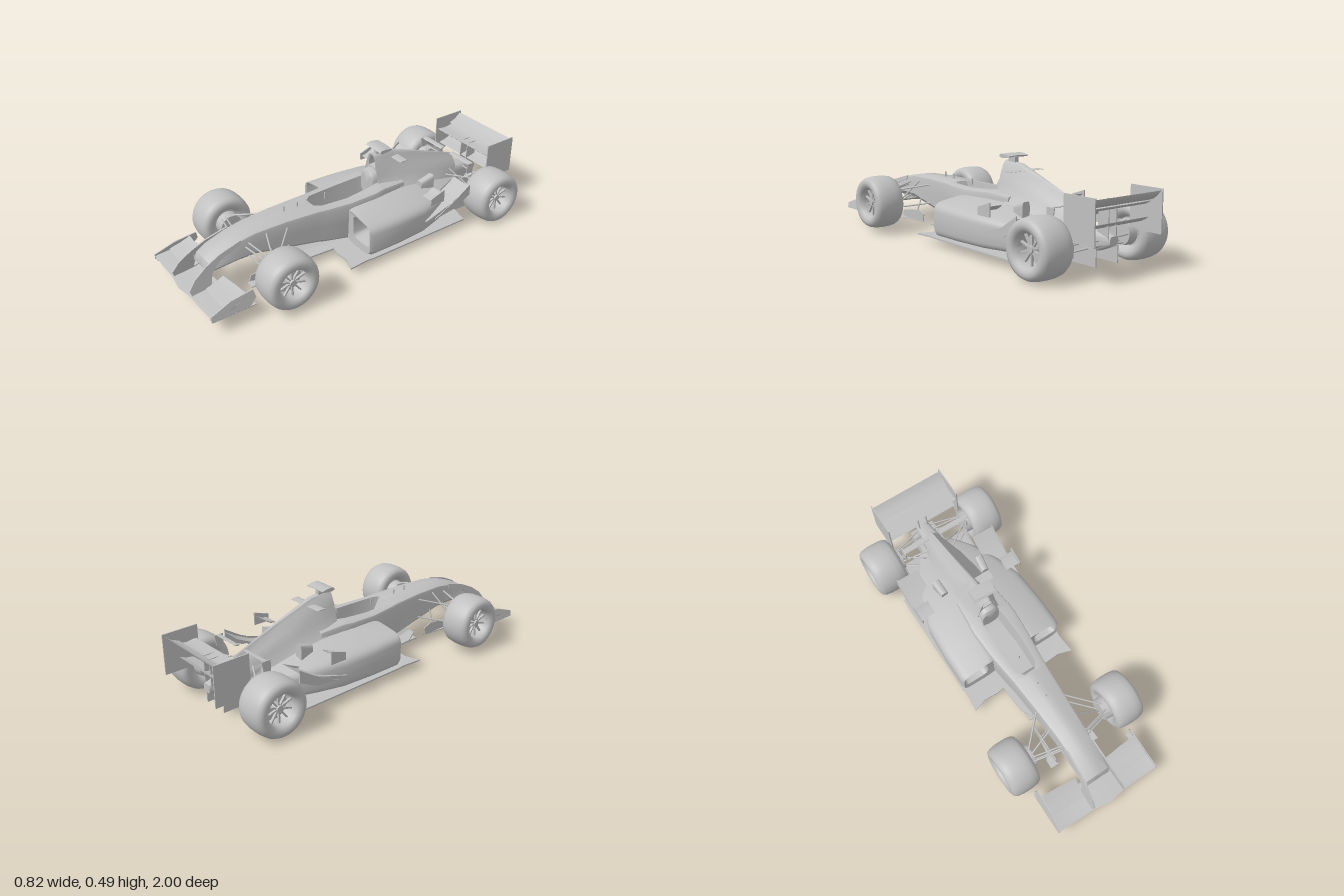
import * as THREE from 'three';
import { toCreasedNormals } from 'three/addons/utils/BufferGeometryUtils.js';

const grey = new THREE.MeshStandardMaterial({ color: 0xc0c0c0, side: THREE.DoubleSide });
grey.name = 'bodyGrey';
const lerp = THREE.MathUtils.lerp;

// Skin a row of closed rings of [x, y, z] points and cap both ends
function loft(rings, crease = 0.7) {
  const n = rings[0].length, pos = rings.flat(2), idx = [];
  for (let r = 0; r < rings.length - 1; r++) {
    for (let i = 0; i < n; i++) {
      const a = r * n + i, b = r * n + (i + 1) % n;
      idx.push(a, b, a + n, b, b + n, a + n);
    }
  }
  [0, rings.length - 1].forEach((r, end) => {
    const c = pos.length / 3;
    for (let k = 0; k < 3; k++) pos.push(rings[r].reduce((s, p) => s + p[k], 0) / n);
    for (let i = 0; i < n; i++) {
      const a = r * n + i, b = r * n + (i + 1) % n;
      idx.push(c, end ? a : b, end ? b : a);
    }
  });
  const g = new THREE.BufferGeometry();
  g.setAttribute('position', new THREE.Float32BufferAttribute(pos, 3));
  g.setIndex(idx);
  return toCreasedNormals(g, crease);
}

// Half outline from top centre to bottom centre, mirrored to a full ring
const mirrorRing = (half, z) => [
  ...half.map(([x, y]) => [x, y, z]),
  ...half.slice(1, -1).reverse().map(([x, y]) => [-x, y, z]),
];

// Rounded box section; tilt raises the inner top edge
function roundRing(z, x0, x1, y0, y1, tilt = 0, p = 0.4, n = 28) {
  return Array.from({ length: n }, (_, i) => {
    const a = -i / n * Math.PI * 2, c = Math.cos(a), s = Math.sin(a);
    const u = Math.sign(c) * Math.abs(c) ** p, v = Math.sign(s) * Math.abs(s) ** p;
    return [lerp(x0, x1, (u + 1) / 2), lerp(y0, y1, (v + 1) / 2) - tilt * u * (v + 1) / 2, z];
  });
}

// Wing section at x, from leading edge to trailing edge
function foil(x, z0, y0, z1, y1, t = 0.008, camber = -0.008) {
  const at = (f, k) => [x, lerp(y0, y1, f) + camber * 4 * f * (1 - f) + k * t, lerp(z0, z1, f)];
  return [at(0, 0), at(0.15, 0.5), at(0.5, 0.5), at(0.8, 0.3), at(1, 0.1),
    at(1, -0.1), at(0.8, -0.3), at(0.5, -0.5), at(0.15, -0.5)];
}

// Thin upright plate from [z, y] points; lean pulls its top inwards
function sidePlate(pts, x, t = 0.006, lean = 0) {
  const g = new THREE.ExtrudeGeometry(new THREE.Shape(pts.map(p => new THREE.Vector2(...p))),
    { depth: t, bevelEnabled: false });
  g.rotateY(-Math.PI / 2).translate(x + t / 2, 0, 0);
  const p = g.attributes.position;
  for (let i = 0; i < p.count; i++) p.setX(i, p.getX(i) - lean * (p.getY(i) - pts[0][1]));
  g.computeVertexNormals();
  return g;
}

// Flat plate from [x, z] points lying at height y
function flatPlate(pts, y, t = 0.008) {
  const g = new THREE.ExtrudeGeometry(new THREE.Shape(pts.map(([x, z]) => new THREE.Vector2(x, -z))),
    { depth: t, bevelEnabled: false });
  return g.rotateX(-Math.PI / 2).translate(0, y, 0);
}

const box = (w, h, d, x, y, z) => new THREE.BoxGeometry(w, h, d).translate(x, y, z);

function rod(a, b, r) {
  const A = new THREE.Vector3(...a), d = new THREE.Vector3(...b).sub(A);
  const g = new THREE.CylinderGeometry(r, r, d.length(), 8).translate(0, d.length() / 2, 0);
  g.applyQuaternion(new THREE.Quaternion().setFromUnitVectors(new THREE.Vector3(0, 1, 0), d.normalize()));
  return g.translate(...a);
}

function makeWheel(width) {
  const w = new THREE.Group(), k = width / 0.166;
  const profile = [[0, -.045], [.07, -.045], [.08, -.068], [.095, -.08], [.112, -.083], [.13, -.076],
    [.139, -.06], [.144, -.03], [.145, 0], [.144, .03], [.139, .06], [.13, .076], [.112, .083], [.095, .08],
    [.082, .07], [.077, .045], [.073, .005], [0, .005]].map(([r, t]) => new THREE.Vector2(r, t * k));
  const add = (name, g) => { const m = new THREE.Mesh(g, grey); m.name = name; w.add(m); };
  add('tyre', toCreasedNormals(new THREE.LatheGeometry(profile, 48).rotateZ(-Math.PI / 2), 0.8));
  add('hub', new THREE.CylinderGeometry(.016, .022, .05, 16).rotateZ(-Math.PI / 2).translate(.03, 0, 0));
  for (let i = 0; i < 10; i++)
    add('spoke', box(.012, .062, .008, .04, .045, 0).rotateX(i / 10 * Math.PI * 2));
  return w;
}

export function createModel() {
  const car = new THREE.Group();
  car.name = 'racingCar';
  const add = (name, g) => { const m = new THREE.Mesh(g, grey); m.name = name; car.add(m); return m; };
  const both = (name, g) => { add(name + 'Left', g); add(name + 'Right', g).scale.x = -1; };

  // Nose and tub: z, inner half width, floor of opening, top width, top, bottom width, bottom
  add('chassis', loft([
    [.868, .03, .19, .066, .189, .076, .175], [.855, .03, .22, .071, .218, .083, .167],
    [.8, .03, .252, .072, .25, .083, .168], [.7, .03, .285, .073, .283, .081, .173],
    [.6, .03, .302, .076, .3, .08, .17], [.43, .03, .307, .086, .305, .085, .135],
    [.25, .03, .303, .098, .301, .093, .1], [.235, .035, .299, .099, .3, .094, .097],
    [.2, .058, .21, .103, .297, .098, .088], [.05, .07, .18, .12, .294, .11, .058],
    [-.1, .062, .18, .128, .302, .11, .055], [-.14, .056, .2, .126, .306, .11, .055],
    [-.16, .05, .3, .122, .306, .11, .055], [-.3, .04, .3, .11, .296, .1, .055],
  ].map(([z, wi, yc, wt, yt, wb, yb]) => mirrorRing([[0, yc], [wi * .85, yc], [wi, yt],
    [wt * .85, yt - .002], [wt * .96, yt - .008], [wt, yt - .022], [(wt + wb) / 2, (yt + yb) / 2],
    [wb, yb + .02], [wb * .8, yb], [0, yb]], z)), 0.6));

  // Engine cover with a recessed air intake
  const cover = (z, yt, wt, ym, wm, yb, wb) => mirrorRing([[0, yt], [wt * .6, yt - .004], [wt, yt - .02],
    [lerp(wt, wm, .6), lerp(yt, ym, .55)], [wm, ym], [lerp(wm, wb, .4), lerp(ym, yb, .5)], [wb, yb], [0, yb]], z);
  add('engineCover', loft([
    cover(-.21, .43, .012, .395, .018, .385, .02), cover(-.165, .445, .02, .395, .026, .38, .028),
    cover(-.16, .457, .026, .34, .055, .24, .1), cover(-.28, .45, .022, .33, .068, .22, .16),
    cover(-.45, .39, .014, .29, .07, .18, .16), cover(-.6, .335, .01, .25, .062, .15, .12),
    cover(-.74, .28, .008, .2, .045, .1, .06)]));
  add('headrest', loft([[-.13, .05, .355], [-.14, .055, .368], [-.2, .055, .38]]
    .map(([z, w, y]) => roundRing(z, -w, w, .22, y, 0, .75))));
  add('cameraStem', box(.022, .035, .05, 0, .46, -.21));
  add('cameraPod', loft([-.062, 0, .062].map(x => foil(x, -.17, .483, -.25, x ? .483 : .487, .02, 0))));
  add('airboxWinglet', loft([-.107, .107].map(x => foil(x, -.27, .415, -.32, .415, .004, 0))));

  // Sidepods with open inlets, tapering to the rear
  both('sidepod', loft([
    roundRing(-.02, .16, .27, .12, .22), roundRing(.066, .15, .29, .105, .232, .008),
    roundRing(.07, .1, .3, .062, .246, .016), roundRing(.05, .09, .308, .055, .248, .022),
    roundRing(-.12, .08, .308, .055, .25, .03), roundRing(-.3, .06, .296, .055, .245, .033),
    roundRing(-.45, .05, .25, .055, .225, .028), roundRing(-.6, .04, .185, .055, .19, .02),
    roundRing(-.73, .02, .1, .06, .15, .01)]));
  both('exhaustChimney', loft([roundRing(-.39, .11, .15, .2, .27), roundRing(-.47, .115, .16, .2, .295)]));
  both('sidepodWinglet', loft([.23, .31].map(x => foil(x, -.33, .252, -.4, .28, .006))));
  both('wingletPlate', sidePlate([[-.32, .23], [-.32, .27], [-.41, .3], [-.41, .23]], .31));
  both('rearFlick', loft([.18, .305].map(x => foil(x, -.3, .135, -.6, .25, .008, -.028))));
  both('flickPlate', sidePlate([[-.36, .13], [-.5, .2], [-.6, .265], [-.6, .2], [-.5, .15]], .306));

  // Floor, plank, splitter and diffuser
  const half = [[.05, .43], [.11, .33], [.12, .17], [.16, .18], [.24, .175], [.315, .2], [.305, .09],
    [.31, .05], [.31, -.57], [.2, -.6], [.2, -.69]];
  add('floor', flatPlate([...half, ...half.map(([x, z]) => [-x, z]).reverse()], .046));
  add('plank', box(.2, .008, 1, 0, .042, -.1));
  add('keel', loft([[.43, .02, .062], [.3, .05, .09], [.1, .09, .1]]
    .map(([z, w, y]) => mirrorRing([[0, y], [w * .4, lerp(y, .05, .5)], [w, .05], [0, .046]], z)), .4));
  both('diffuserSide', loft([.06, .2].map(x => foil(x, -.58, .055, -.73, .11, .008, -.01))));
  add('diffuserCentre', loft([-.07, .07].map(x => foil(x, -.58, .055, -.87, .14, .008, -.015))));
  for (const [x, end] of [[.07, -.87], [.135, -.74], [.2, -.74]])
    both('diffuserFence', sidePlate([[-.56, .045], [-.56, .07], [-.74, .13], [end, .13], [end, .045]], x, .005));
  both('turningVane', sidePlate([[.67, .06], [.66, .09], [.5, .11], [.45, .09], [.46, .05], [.6, .045]], .11, .005));
  both('turningVaneFoot', flatPlate([[.105, .45], [.125, .6], [.148, .63], [.15, .68], [.105, .68]], .046, .005));
  both('vaneStay', rod([.11, .1, .52], [.075, .19, .52], .004));

  // Gearbox and rear crash structure
  add('gearbox', loft([[-.55, .09, .07, .25], [-.72, .055, .08, .22], [-.84, .04, .11, .2], [-.91, .025, .14, .185]]
    .map(([z, w, a, b]) => roundRing(z, -w, w, a, b, 0, .55))));

  // Front wing
  const span = [[-.305, .978, .1], [-.2, .978, .09], [-.1, .98, .097], [0, .995, .095],
    [.1, .98, .097], [.2, .978, .09], [.305, .978, .1]];
  add('frontWing', loft(span.map(([x, z, y]) => foil(x, z, y, .83, y + .022, .01))));
  both('frontFlap', loft([foil(.09, .9, .11, .8, .138), foil(.2, .9, .108, .79, .147), foil(.295, .9, .115, .785, .155)]));
  both('frontEndplate', sidePlate([[.978, .08], [.978, .11], [.87, .148], [.75, .162], [.74, .12], [.78, .08]],
    .307, .007, .2));
  both('frontFootplate', flatPlate([[.28, .975], [.31, .975], [.31, .745], [.275, .75]], .08, .005));
  both('nosePillar', sidePlate([[.97, .095], [.98, .125], [.945, .172], [.88, .218], [.8, .255], [.68, .287],
    [.68, .265], [.8, .225], [.85, .18], [.87, .105]], .097, .009, .14));

  // Rear wing
  add('rearMainPlane', loft([-.212, 0, .212].map(x => foil(x, -.82, .32, -.93, .325, .014, -.014))));
  add('rearFlap', loft([-.212, .212].map(x => foil(x, -.915, .335, -.99, .38, .009, -.012))));
  add('rearBeamWing', loft([-.212, .212].map(x => foil(x, -.84, .225, -.92, .25, .01))));
  both('rearEndplate', sidePlate([[-.81, .2], [-.81, .39], [-1, .39], [-1, .18], [-.86, .18]], .214));
  both('rearPylon', sidePlate([[-.83, .16], [-.84, .32], [-.9, .32], [-.9, .16]], .025, .005));
  both('deckWinglet', loft([.035, .195].map(x => foil(x, -.69, .303, -.72, .308, .006, 0))));
  both('deckWingletPlate', sidePlate([[-.68, .25], [-.68, .308], [-.73, .308], [-.72, .25]], .195, .005));

  // Wheels, brakes and suspension
  for (const [name, x, y, z, w] of [['front', .324, .172, .58, .168], ['rear', .312, .15, -.76, .178]]) {
    for (const s of [1, -1]) {
      const wheel = makeWheel(w);
      wheel.name = name + (s > 0 ? 'WheelLeft' : 'WheelRight');
      wheel.position.set(s * x, y, z);
      wheel.scale.x = s;
      car.add(wheel);
    }
    both(name + 'Brake', new THREE.CylinderGeometry(.06, .065, .05, 20).rotateZ(Math.PI / 2).translate(x - .085, y, z));
  }
  for (const [a, b] of [
    [[.24, .225, .6], [.075, .255, .64]], [[.24, .225, .58], [.08, .265, .42]],
    [[.24, .125, .6], [.07, .18, .64]], [[.24, .125, .58], [.08, .16, .42]],
    [[.23, .13, .58], [.07, .28, .54]], [[.24, .215, .62], [.07, .24, .66]],
    [[.23, .21, -.75], [.04, .2, -.62]], [[.23, .21, -.77], [.035, .19, -.8]],
    [[.23, .1, -.75], [.05, .12, -.62]], [[.23, .1, -.77], [.03, .13, -.83]],
    [[.22, .1, -.76], [.05, .22, -.68]], [[.23, .15, -.8], [.03, .16, -.85]],
  ]) both('suspensionArm', rod(a, b, .0045));

  // Small sensors on the nose
  for (const [z, h] of [[.39, .03], [.31, .025], [.14, .02]]) add('antenna', rod([0, .29, z], [0, .305 + h, z], .004));
  return car;
}
